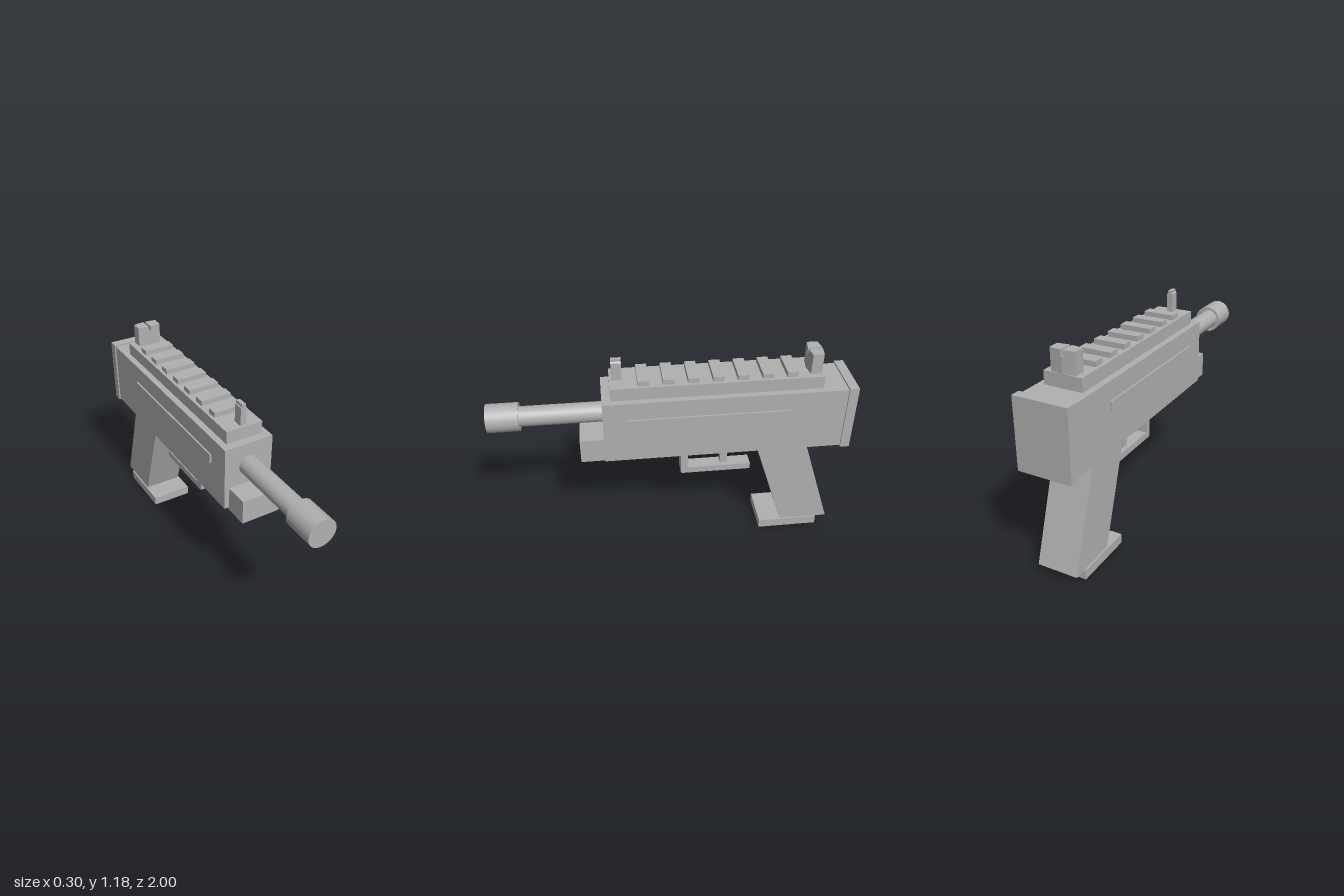
import * as THREE from 'three';

const grey = new THREE.MeshStandardMaterial({ color: 0xb0b0b0 });
grey.name = 'grey';

export function createModel() {
  const model = new THREE.Group();
  model.name = 'compactBlaster';

  const add = (name, geometry) => {
    const mesh = new THREE.Mesh(geometry, grey);
    mesh.name = name;
    model.add(mesh);
    return mesh;
  };
  // Box from half width and y / z ranges, optionally centred at x
  const box = (name, halfW, y0, y1, z0, z1, x = 0) => {
    const mesh = add(name, new THREE.BoxGeometry(halfW * 2, y1 - y0, z1 - z0));
    mesh.position.set(x, (y0 + y1) / 2, (z0 + z1) / 2);
  };
  const extrude = (points, depth) => new THREE.ExtrudeGeometry(
    new THREE.Shape(points.map(([a, b]) => new THREE.Vector2(a, b))),
    { depth, bevelEnabled: false });

  // Receiver
  box('receiver', 0.142, 0.62, 0.99, -0.95, 0.38);
  box('backPlate', 0.15, 0.612, 1.0, -1.0, -0.947);
  for (const side of [-1, 1]) {
    box(side > 0 ? 'leftSideStrip' : 'rightSideStrip', 0.01, 0.835, 0.888, -0.64, 0.245, side * 0.142);
  }
  box('frontBlock', 0.113, 0.604, 0.745, 0.07, 0.513);

  // Top rail with cross ribs
  box('railBase', 0.106, 0.985, 1.062, -0.815, 0.333);
  for (let i = 0; i < 7; i++) {
    const z = 0.157 - i * 0.1333;
    box('railRib' + (i + 1), 0.089, 1.06, 1.09, z - 0.03, z + 0.03);
  }

  // Front sight: narrow post with chamfered tip
  const post = add('frontSight', extrude(
    [[-0.017, 1.06], [0.017, 1.06], [0.017, 1.165], [0.011, 1.172], [0.011, 1.185],
      [-0.011, 1.185], [-0.011, 1.172], [-0.017, 1.165]], 0.055));
  post.position.z = 0.265;

  // Rear sight: six-sided block with a narrow notch in the top
  const upright = (name, points, y0, y1) => {
    // plan points are [x, -z]; extrusion is turned to run along y
    const mesh = add(name, extrude(points, y1 - y0).rotateX(-Math.PI / 2));
    mesh.position.y = y0;
  };
  upright('rearSightBase',
    [[-0.07, 0.745], [0, 0.735], [0.07, 0.745], [0.07, 0.805], [0, 0.815], [-0.07, 0.805]], 1.062, 1.147);
  for (const s of [-1, 1]) {
    upright(s > 0 ? 'leftRearSightEar' : 'rightRearSightEar',
      [[s * 0.006, 0.736], [s * 0.07, 0.745], [s * 0.07, 0.805], [s * 0.006, 0.814]], 1.147, 1.178);
  }

  // Barrel and muzzle cap, hollowed at its rear
  const barrel = add('barrel', new THREE.CylinderGeometry(0.056, 0.056, 0.54, 40).rotateX(Math.PI / 2));
  barrel.position.set(0, 0.859, 0.63);
  const cap = add('muzzle', new THREE.CylinderGeometry(0.079, 0.079, 0.155, 40).rotateX(Math.PI / 2));
  cap.position.set(0, 0.859, 0.9225);
  const ring = new THREE.Shape().absarc(0, 0, 0.079, 0, Math.PI * 2);
  ring.holes.push(new THREE.Path().absarc(0, 0, 0.066, 0, Math.PI * 2, true));
  const rim = add('muzzleRim', new THREE.ExtrudeGeometry(ring,
    { depth: 0.02, bevelEnabled: false, curveSegments: 40 }));
  rim.position.set(0, 0.859, 0.826);

  // Trigger and guard
  box('guardPost', 0.04, 0.415, 0.63, -0.092, -0.052);
  box('guardBar', 0.04, 0.41, 0.449, -0.462, -0.06);
  box('trigger', 0.025, 0.46, 0.63, -0.326, -0.285);

  // Raked grip: side profile given as [-z, y]
  add('grip', extrude(
    [[0.472, 0.63], [0.663, 0.052], [0.948, 0.052], [0.757, 0.63]], 0.23)
    .translate(0, 0, -0.115).rotateY(Math.PI / 2));
  box('magazineBase', 0.124, 0, 0.054, -0.883, -0.53);

  return model;
}
